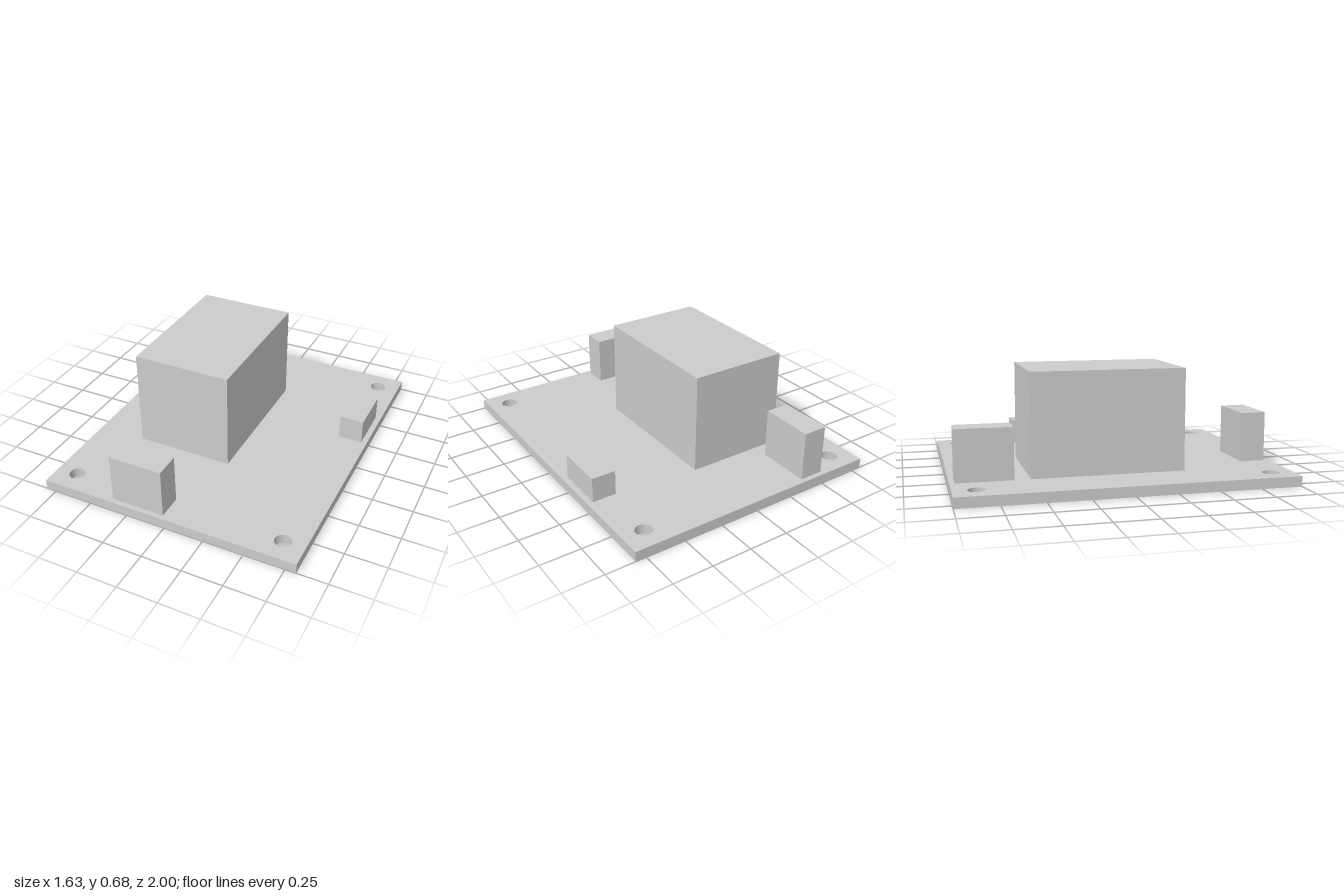
import * as THREE from 'three';

const BOARD_TOP = 0.062;

export function createModel() {
  const model = new THREE.Group();
  model.name = 'circuitBoardModule';
  const grey = new THREE.MeshStandardMaterial({ color: 0xcccccc });
  grey.name = 'light grey';

  // Flat board with a mounting hole in each corner
  const outline = new THREE.Shape();
  outline.moveTo(-0.815, -1).lineTo(0.815, -1).lineTo(0.815, 1).lineTo(-0.815, 1).closePath();
  for (const x of [-0.68, 0.68]) {
    for (const z of [-0.865, 0.865]) {
      const hole = new THREE.Path();
      hole.absarc(x, z, 0.05, 0, Math.PI * 2, true);
      outline.holes.push(hole);
    }
  }
  const boardGeometry = new THREE.ExtrudeGeometry(outline, {
    depth: BOARD_TOP, bevelEnabled: false, curveSegments: 24,
  });
  boardGeometry.rotateX(-Math.PI / 2);
  const board = new THREE.Mesh(boardGeometry, grey);
  board.name = 'board';
  model.add(board);

  // Block standing on the board, given by its x and z limits and its top
  const addBlock = (name, x0, x1, z0, z1, top) => {
    const height = top - BOARD_TOP;
    const block = new THREE.Mesh(new THREE.BoxGeometry(x1 - x0, height, z1 - z0), grey);
    block.position.set((x0 + x1) / 2, BOARD_TOP + height / 2, (z0 + z1) / 2);
    block.name = name;
    model.add(block);
  };
  addBlock('mainBlock', -0.51, 0.105, -0.54, 0.385, 0.678);
  addBlock('frontConnector', -0.355, -0.02, 0.815, 0.97, 0.37);
  addBlock('backConnector', -0.51, -0.36, -0.97, -0.635, 0.37);
  addBlock('sideConnector', 0.63, 0.78, -0.49, -0.185, 0.217);

  return model;
}
